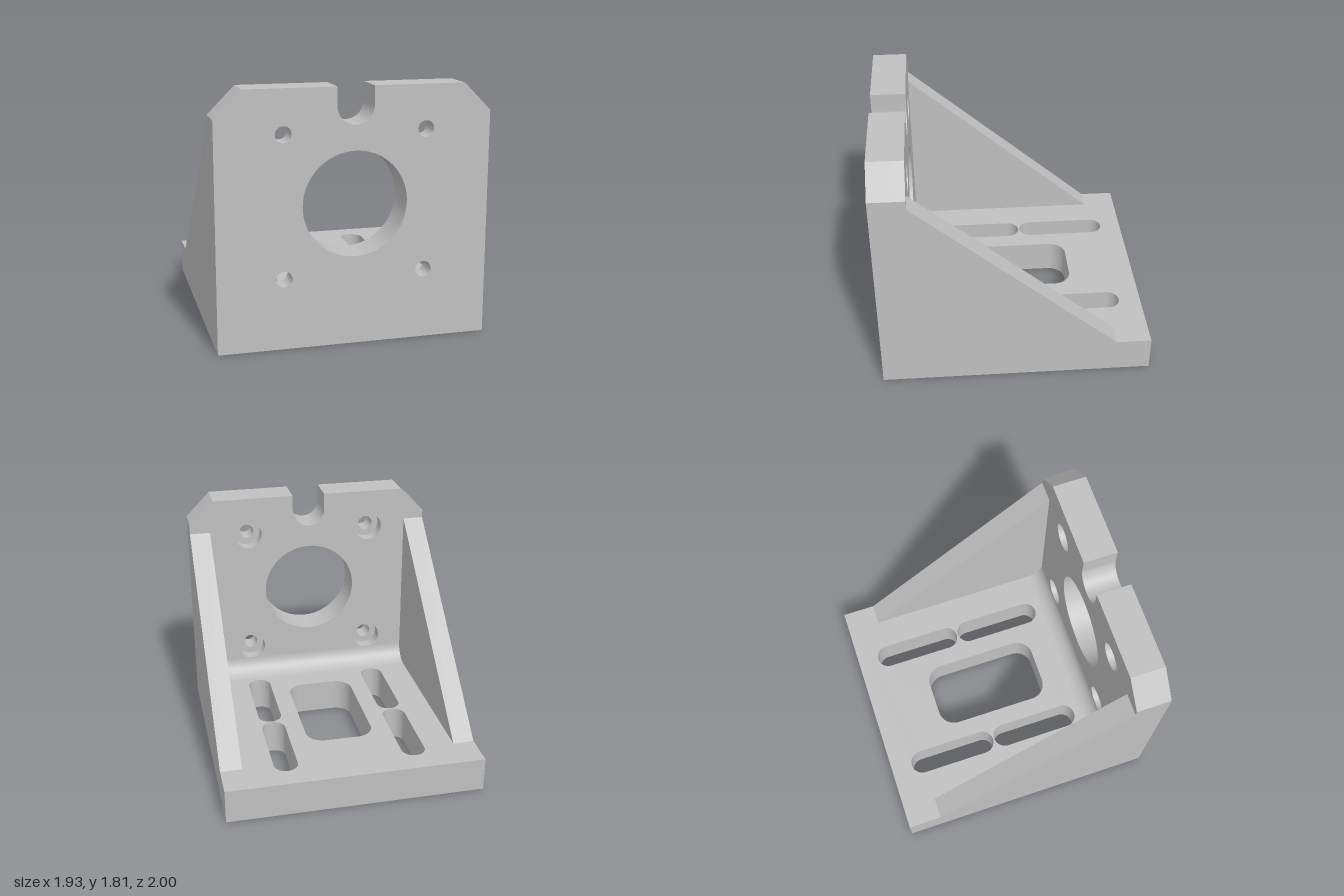
import * as THREE from 'three';
import { toCreasedNormals } from 'three/addons/utils/BufferGeometryUtils.js';

const W = 0.967, H = 1.81;          // half width, height
const BASE = 0.26, BACK = 0.742;    // base thickness, rear face of the upright plate
const WALL = 0.161, FILLET = 0.14, BORE_DEPTH = 0.1;

const metal = new THREE.MeshStandardMaterial({ color: 0xc0c0c0 });
metal.name = 'grey metal';

function circle(x, y, r) {
  const p = new THREE.Path();
  p.absarc(x, y, r, 0, Math.PI * 2, true);
  return p;
}

// Rounded rectangle hole; a slot when r is half the width
function roundedHole(x0, x1, y0, y1, r) {
  const p = new THREE.Path();
  p.absarc(x1 - r, y1 - r, r, 0, Math.PI / 2, false);
  p.absarc(x0 + r, y1 - r, r, Math.PI / 2, Math.PI, false);
  p.absarc(x0 + r, y0 + r, r, Math.PI, Math.PI * 1.5, false);
  p.absarc(x1 - r, y0 + r, r, Math.PI * 1.5, Math.PI * 2, false);
  p.closePath();
  return p;
}

function extrude(shape, depth) {
  return new THREE.ExtrudeGeometry(shape, { depth, bevelEnabled: false, curveSegments: 32 });
}

function part(name, geometry) {
  const mesh = new THREE.Mesh(toCreasedNormals(geometry, 0.5), metal);
  mesh.name = name;
  return mesh;
}

// Upright plate outline: chamfered corners, U notch, central bore, four screw holes
function plateShape(screwRadius) {
  const s = new THREE.Shape();
  s.moveTo(-W, 0);
  s.lineTo(W, 0);
  s.lineTo(W, 1.615);
  s.lineTo(0.775, H);
  s.lineTo(0.13, H);
  s.absarc(0, 1.68, 0.13, 0, Math.PI, true);
  s.lineTo(-0.13, H);
  s.lineTo(-0.775, H);
  s.lineTo(-W, 1.615);
  s.closePath();
  s.holes.push(circle(0, 1.003, 0.37));
  for (const x of [-0.5, 0.5])
    for (const y of [0.503, 1.503]) s.holes.push(circle(x, y, screwRadius));
  return s;
}

// Extrude a (z, y) profile along x, from x0 to x1
function alongX(shape, x0, x1) {
  return extrude(shape, x1 - x0).rotateY(-Math.PI / 2).translate(x1, 0, 0);
}

export function createModel() {
  const group = new THREE.Group();
  group.name = 'motorBracket';

  // Plate in two layers: counterbored rear, narrow holes in front
  const front = BACK + BORE_DEPTH;
  group.add(part('plateFront', extrude(plateShape(0.057), 1 - front).translate(0, 0, front)));
  group.add(part('plateCounterbored', extrude(plateShape(0.11), BORE_DEPTH).translate(0, 0, BACK)));

  // Base with window and adjustment slots, drawn in (x, -z)
  const base = new THREE.Shape();
  base.moveTo(-W, -BACK);
  base.lineTo(W, -BACK);
  base.lineTo(W, 1);
  base.lineTo(-W, 1);
  base.closePath();
  base.holes.push(roundedHole(-0.258, 0.258, -0.417, 0.488, 0.13));
  for (const x of [-0.485, 0.485])
    for (const y of [-0.572, 0.138]) base.holes.push(roundedHole(x - 0.09, x + 0.09, y, y + 0.697, 0.09));
  group.add(part('base', extrude(base, BASE).rotateX(-Math.PI / 2)));

  // Triangular side gussets
  const gusset = new THREE.Shape();
  gusset.moveTo(-0.742, BASE);
  gusset.lineTo(BACK, BASE);
  gusset.lineTo(BACK, 1.55);
  gusset.closePath();
  group.add(part('leftGusset', alongX(gusset, W - WALL, W)));
  group.add(part('rightGusset', alongX(gusset, -W, WALL - W)));

  // Concave fillet between base and plate
  const fillet = new THREE.Shape();
  fillet.moveTo(BACK, BASE);
  fillet.lineTo(BACK, BASE + FILLET);
  fillet.absarc(BACK - FILLET, BASE + FILLET, FILLET, 0, -Math.PI / 2, true);
  fillet.closePath();
  group.add(part('fillet', alongX(fillet, WALL - W, W - WALL)));

  return group;
}
